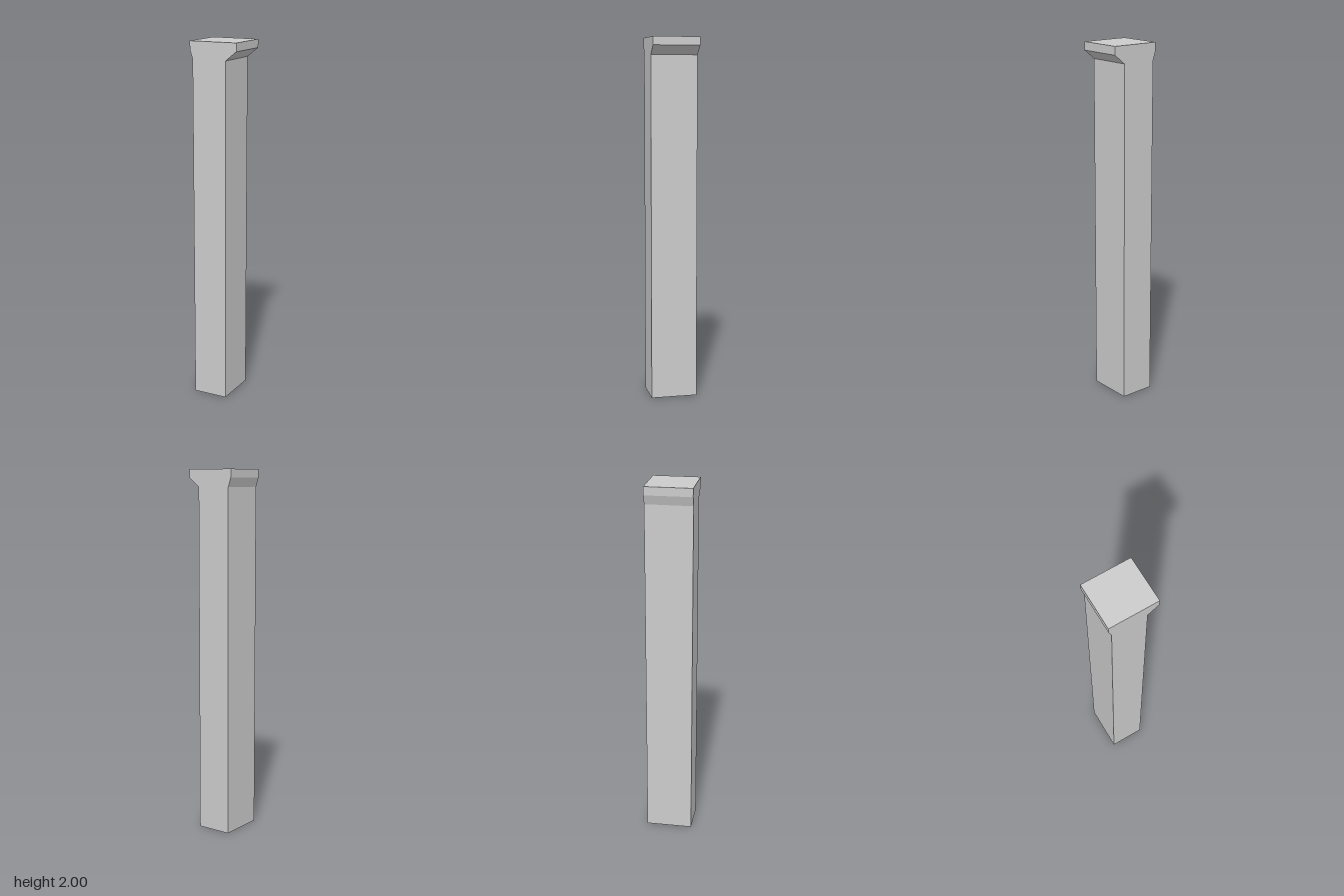
import * as THREE from 'three';

export function createModel() {
  const group = new THREE.Group();
  group.name = 'pillar';
  const material = new THREE.MeshStandardMaterial({ color: 0xcccccc, flatShading: true });

  // Side profile: straight shaft flaring into a wider cap, further on the left
  const profile = new THREE.Shape([
    [-0.121, 0], [0.0745, 0], [0.0745, 1.905], [0.1375, 1.955],
    [0.1375, 2], [-0.1375, 2], [-0.1375, 1.955], [-0.121, 1.905],
  ].map(([x, y]) => new THREE.Vector2(x, y)));

  // Flat front and back faces
  const depth = 0.257;
  const geometry = new THREE.ExtrudeGeometry(profile, { depth, bevelEnabled: false });
  geometry.translate(0, 0, -depth / 2);

  const column = new THREE.Mesh(geometry, material);
  column.name = 'shaftWithFlaredCap';
  column.rotation.y = THREE.MathUtils.degToRad(18);
  group.add(column);
  return group;
}
